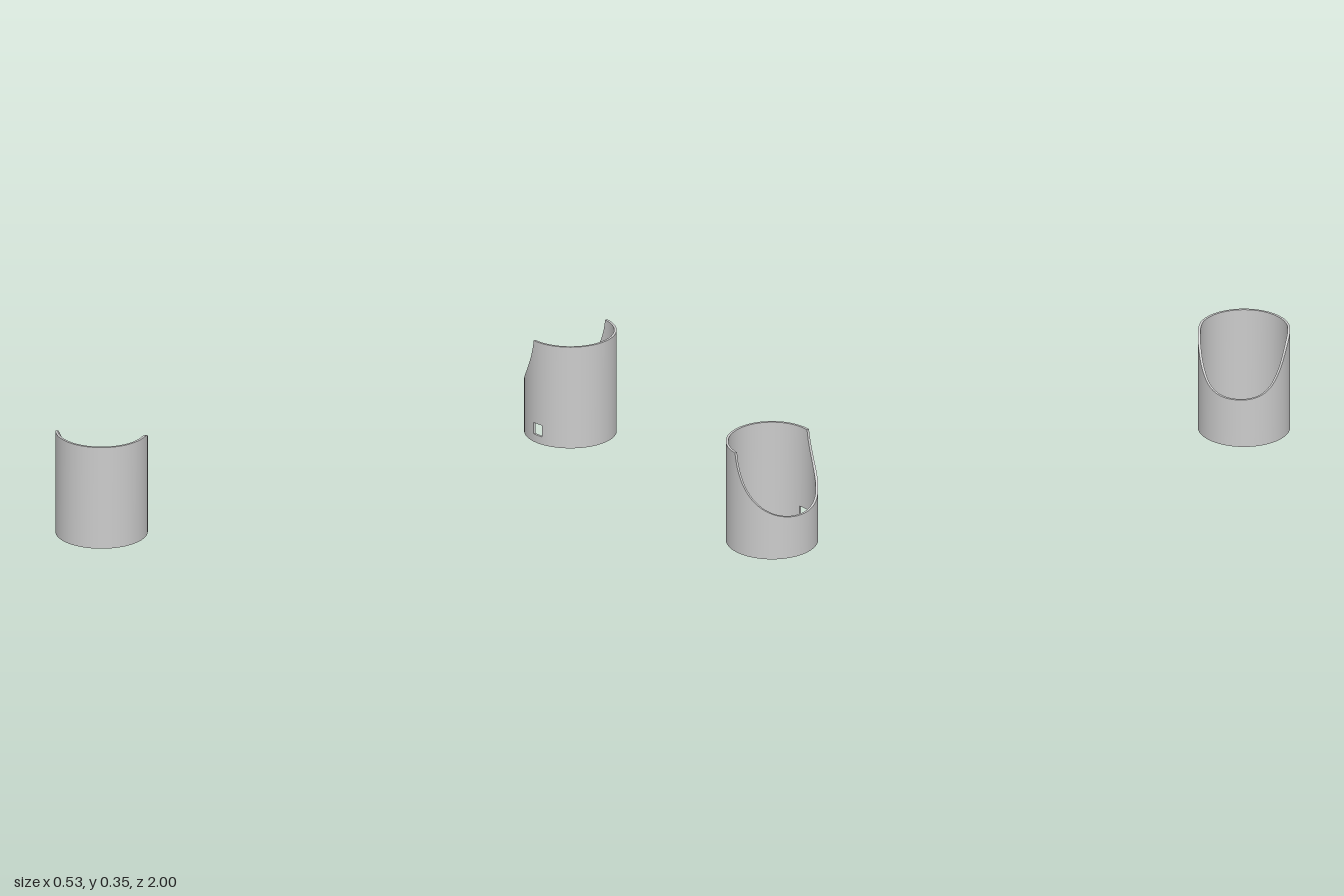
import * as THREE from 'three';
import { mergeGeometries } from 'three/addons/utils/BufferGeometryUtils.js';

const OUTER = 0.1475, INNER = 0.1395, HEIGHT = 0.348;
const material = new THREE.MeshStandardMaterial({ color: 0xcccccc });

// Angle 0 faces +z and turns towards +x
const point = (r, a, y) => new THREE.Vector3(r * Math.sin(a), y, r * Math.cos(a));

// Smooth surface ruled between a lower and an upper curve
function ruled(p, q, n) {
  const pos = [], index = [];
  for (let i = 0; i <= n; i++) {
    pos.push(...p(i / n).toArray(), ...q(i / n).toArray());
    const k = i * 2;
    if (i < n) index.push(k, k + 2, k + 3, k, k + 3, k + 1);
  }
  const g = new THREE.BufferGeometry();
  g.setAttribute('position', new THREE.Float32BufferAttribute(pos, 3));
  g.setIndex(index);
  g.computeVertexNormals();
  return g;
}

// Curved wall section: outer face, rim, inner face and base
function wall(from, to, bottom, top, n) {
  const edges = [[OUTER, bottom], [OUTER, top], [INNER, top], [INNER, bottom]];
  const curves = edges.map(([r, h]) => (u) => {
    const a = from + (to - from) * u;
    return point(r, a, h(a));
  });
  return mergeGeometries(curves.map((c, i) => ruled(c, curves[(i + 1) % 4], n)));
}

function addPart(group, name, geometries) {
  const mesh = new THREE.Mesh(mergeGeometries(geometries), material);
  mesh.name = name;
  group.add(mesh);
}

export function createModel() {
  const model = new THREE.Group();
  model.name = 'cutSleeves';
  const floor = () => 0;

  // Front sleeve: soft S-shaped scoop facing the back corner
  const scoop = new THREE.SplineCurve(
    [0.348, 0.339, 0.309, 0.248, 0.193, 0.165].map((y, i) => new THREE.Vector2(-0.25 + i * 0.25, y)));
  const scoopAngle = -0.75 * Math.PI;
  const scoopRim = (a) => {
    const t = Math.cos(a - scoopAngle);
    return scoop.getPoint(THREE.MathUtils.clamp((t + 0.25) / 1.25, 0, 1)).y;
  };
  const front = new THREE.Group();
  front.name = 'frontSleeve';
  front.position.set(-0.1175, 0, 0.8525);
  addPart(front, 'scoopedWall', [wall(scoopAngle - Math.PI, scoopAngle + Math.PI, floor, scoopRim, 192)]);
  model.add(front);

  // Back sleeve: circular bite out of its -x half, small window in its front
  const biteRim = (a) => {
    const x = OUTER * Math.sin(a);
    if (x > -1e-6) return HEIGHT;
    return Math.min(HEIGHT, 0.386 - Math.sqrt(0.2727 ** 2 - (x + 0.27) ** 2));
  };
  const full = () => HEIGHT, sill = () => 0.027, lintel = () => 0.066;
  const w = Math.asin(0.037 / OUTER);
  const jamb = (a, r0, r1) => {
    const side = (y) => (u) => point(r0 + (r1 - r0) * u, a, y);
    return ruled(side(sill()), side(lintel()), 1);
  };
  const back = new THREE.Group();
  back.name = 'backSleeve';
  back.position.set(0.1175, 0, -0.8525);
  addPart(back, 'fullWall', [wall(w, Math.PI, floor, full, 88)]);
  addPart(back, 'bittenWall', [wall(Math.PI, 2 * Math.PI, floor, biteRim, 128)]);
  addPart(back, 'windowSurround', [
    wall(0, w, floor, sill, 8),
    wall(0, w, lintel, full, 8),
    jamb(0, OUTER, INNER),
    jamb(w, INNER, OUTER),
  ]);
  model.add(back);

  return model;
}
